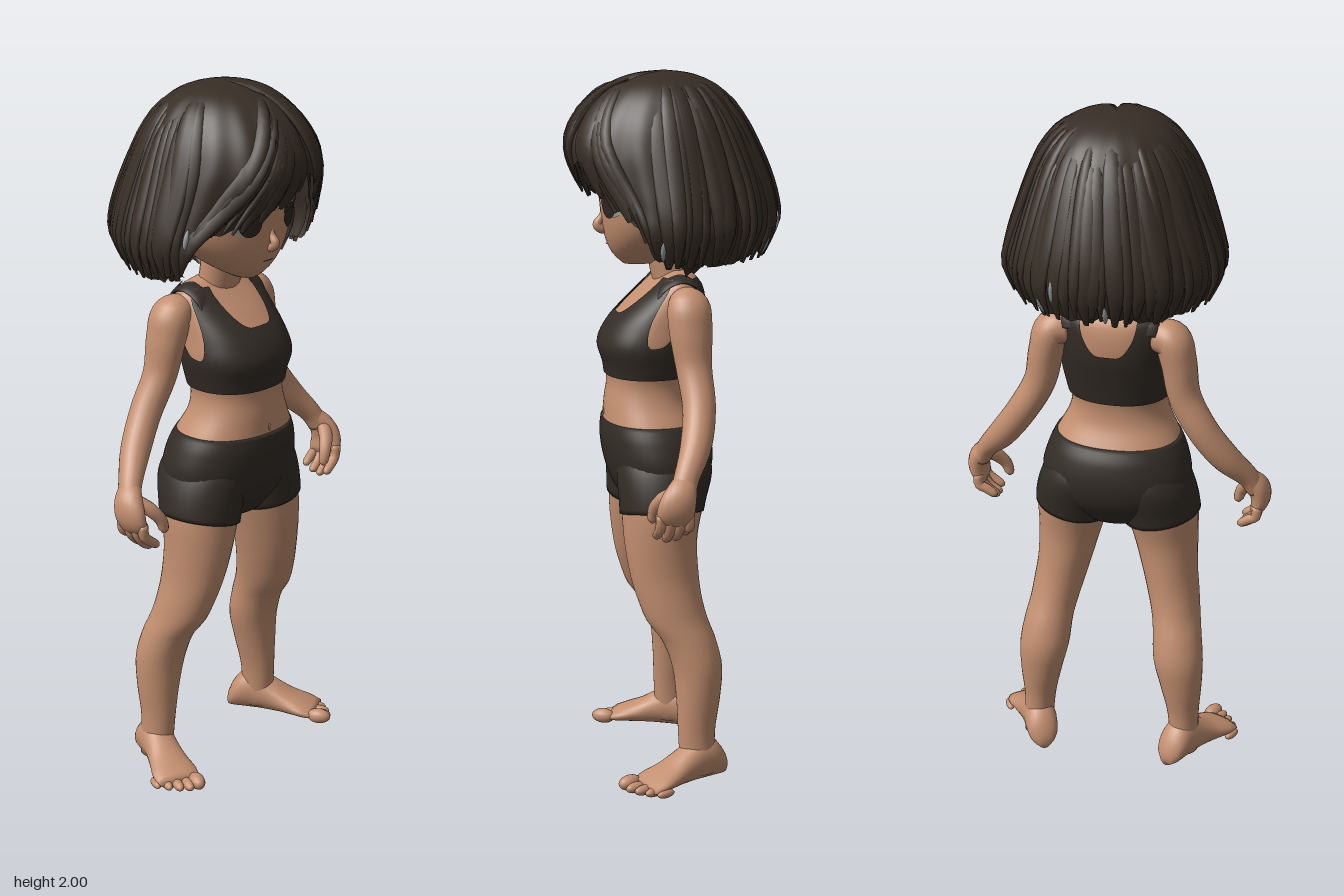
import * as THREE from 'three';

const V = (x, y, z) => new THREE.Vector3(x, y, z);
const rad = THREE.MathUtils.degToRad;
const material = (name, color, side = THREE.FrontSide) => {
  const m = new THREE.MeshStandardMaterial({ color, side });
  m.name = name;
  return m;
};

// smooth lookup in a table whose first column is the key
function at(t, x) {
  let i = 0;
  while (i < t.length - 2 && x > t[i + 1][0]) i++;
  const h = t[i + 1][0] - t[i][0], s = THREE.MathUtils.clamp((x - t[i][0]) / h, 0, 1);
  const slope = (k, c) => {
    const a = t[Math.max(k - 1, 0)], b = t[Math.min(k + 1, t.length - 1)];
    return (b[c] - a[c]) / (b[0] - a[0]);
  };
  return t[i].slice(1).map((p, j) => {
    const c = j + 1, q = t[i + 1][c], d = q - p, m0 = slope(i, c) * h, m1 = slope(i + 1, c) * h;
    return p + s * m0 + s * s * (3 * d - 2 * m0 - m1) + s * s * s * (m0 + m1 - 2 * d);
  });
}

// skin over closed rings of points, facing outwards
function loft(rings, cap = true) {
  const n = rings[0].length, pts = rings.flat(), idx = [];
  for (let r = 0; r < rings.length - 1; r++) for (let i = 0; i < n; i++) {
    const a = r * n + i, b = r * n + (i + 1) % n;
    idx.push(a, b, a + n, b, b + n, a + n);
  }
  if (cap) [0, rings.length - 1].forEach((r) => {
    const c = pts.length;
    pts.push(rings[r].reduce((s, p) => s.add(p), V(0, 0, 0)).divideScalar(n));
    for (let i = 0; i < n; i++) {
      const a = r * n + i, b = r * n + (i + 1) % n;
      r ? idx.push(a, b, c) : idx.push(b, a, c);
    }
  });
  const mid = pts.reduce((s, p) => s.add(p), V(0, 0, 0)).divideScalar(pts.length);
  let vol = 0;
  for (let i = 0; i < idx.length; i += 3) {
    const [a, b, c] = [0, 1, 2].map((k) => pts[idx[i + k]].clone().sub(mid));
    vol += a.dot(b.cross(c));
  }
  if (vol < 0) idx.reverse();
  const g = new THREE.BufferGeometry().setFromPoints(pts);
  g.setIndex(idx);
  g.computeVertexNormals();
  return g;
}

// horizontal ring; rows give half width, front z, back z
const ringPoint = (y, [rx, zf, zb], a, off = 0, e = 1, cx = 0) => {
  const p = (v) => Math.sign(v) * Math.abs(v) ** e;
  return V(cx + (rx + off) * p(Math.sin(a)), y, (zf + zb) / 2 + ((zf - zb) / 2 + off) * p(Math.cos(a)));
};
const circle = (n, f) => Array.from({ length: n }, (_, i) => f((i / n) * Math.PI * 2));
const steps = (n, f) => Array.from({ length: n + 1 }, (_, i) => f(i / n));

// tapered tube; each row is x, y, z, thickness, width along ref
function limb(rows, ref = V(0, 0, 1), n = 14, seg = 20) {
  const path = new THREE.CatmullRomCurve3(rows.map((r) => V(r[0], r[1], r[2])));
  const radii = rows.map((r, i) => [i / (rows.length - 1), r[3], r[4] ?? r[3]]);
  return loft(steps(seg, (t) => {
    const p = path.getPoint(t), tan = path.getTangent(t), [ru, rv] = at(radii, t);
    const v = ref.clone().addScaledVector(tan, -ref.dot(tan)).normalize(), u = v.clone().cross(tan);
    return circle(n, (a) => p.clone().addScaledVector(u, ru * Math.cos(a)).addScaledVector(v, rv * Math.sin(a)));
  }));
}

const TORSO = [[0.77, 0.1, 0.12, -0.04], [0.84, 0.195, 0.165, -0.09], [0.91, 0.212, 0.188, -0.11], [0.98, 0.197, 0.198, -0.1],
  [1.03, 0.174, 0.194, -0.075], [1.08, 0.148, 0.19, -0.05], [1.13, 0.136, 0.183, -0.045], [1.18, 0.145, 0.187, -0.055],
  [1.24, 0.157, 0.202, -0.07], [1.3, 0.153, 0.175, -0.085], [1.36, 0.15, 0.118, -0.088], [1.41, 0.145, 0.062, -0.078],
  [1.435, 0.125, 0.035, -0.06], [1.45, 0.07, 0.02, -0.04]];
const HEAD = [[1.465, 0.03, 0.135, 0.05], [1.49, 0.075, 0.163, 0], [1.53, 0.13, 0.183, -0.06], [1.58, 0.175, 0.194, -0.12],
  [1.64, 0.2, 0.2, -0.17], [1.72, 0.207, 0.21, -0.19], [1.8, 0.195, 0.205, -0.18], [1.88, 0.14, 0.15, -0.12], [1.92, 0.04, 0.07, -0.03]];
// leg rows: y, half width, front z, back z, centre x
const LEG = [[0.03, 0.042, 0.01, -0.09, 0.225], [0.15, 0.046, 0.016, -0.09, 0.22], [0.25, 0.061, 0.02, -0.105, 0.213],
  [0.34, 0.073, 0.03, -0.112, 0.203], [0.42, 0.071, 0.06, -0.094, 0.194], [0.47, 0.071, 0.098, -0.075, 0.184],
  [0.53, 0.075, 0.122, -0.06, 0.172], [0.6, 0.08, 0.142, -0.052, 0.158], [0.7, 0.093, 0.157, -0.05, 0.143],
  [0.8, 0.107, 0.162, -0.07, 0.128], [0.9, 0.105, 0.165, -0.092, 0.107], [0.99, 0.08, 0.145, -0.06, 0.085]];
// hair rows: step, y, half width, front z, back z
const HAIR = [[0, 2, 0, 0.02, 0.02], [1, 1.985, 0.095, 0.12, -0.07], [2, 1.948, 0.16, 0.195, -0.14], [3, 1.88, 0.208, 0.26, -0.195],
  [4, 1.8, 0.24, 0.29, -0.235], [5, 1.72, 0.267, 0.27, -0.267], [6, 1.65, 0.289, 0.245, -0.285], [7, 1.58, 0.3, 0.235, -0.288],
  [8, 1.49, 0.265, 0.215, -0.25]];
const HAIR_EDGE = [[-180, 7.9], [-75, 7.9], [-62, 6.9], [-42, 6.2], [-25, 5.95], [-10, 5.5], [3, 4.95], [14, 4.25], [22, 4.6], [32, 5.5],
  [46, 6.2], [62, 6.9], [75, 7.9], [180, 7.9]];
const NECKLINE = [[0, 1.33], [15, 1.335], [25, 1.37], [33, 1.435], [64, 1.435], [72, 1.33], [80, 1.26], [90, 1.25], [100, 1.27],
  [110, 1.35], [117, 1.435], [146, 1.435], [156, 1.37], [168, 1.325], [180, 1.32]];

const hairPoint = (deg, t, k = 1) => {
  const [y, rx, zf, zb] = at(HAIR, t), a = rad(deg), c = Math.cos(a);
  const part = 0.06 * Math.exp(-(((deg - 14) / 9) ** 2)) * Math.min(t, 1);
  const r = k * (1 - part + 0.012 * Math.sin(a * 17) * Math.min(t / 4, 1));
  return V(rx * r * Math.sin(a), y - (1 - k) * 0.1 - part * 0.2, 0.02 + (c > 0 ? zf - 0.02 : 0.02 - zb) * r * c);
};
const faceZ = (x, y) => {
  const [rx, zf, zb] = at(HEAD, y);
  return (zf + zb) / 2 + ((zf - zb) / 2) * Math.sqrt(Math.max(0, 1 - (x / rx) ** 2));
};
// thin plate laid on the face
function onFace(g, x, y, sx, sy, tilt, lift) {
  g.scale(sx, sy, 1).rotateZ(tilt).translate(x, y, 0);
  const p = g.attributes.position;
  for (let i = 0; i < p.count; i++) p.setZ(i, faceZ(p.getX(i), p.getY(i)) + lift);
  g.computeVertexNormals();
  return g;
}

export function createModel() {
  const model = new THREE.Group();
  const skin = material('skin', 0xc38f70), skinShade = material('skin shade', 0x9a6a52);
  const hair = material('hair', 0x372d25, THREE.DoubleSide), cloth = material('cloth', 0x332c26, THREE.DoubleSide);
  const paleGrey = material('pale grey', 0x959b9b), eyeDark = material('eye dark', 0x2f2723);
  const add = (name, g, m) => {
    const mesh = new THREE.Mesh(g, m);
    mesh.name = name;
    model.add(mesh);
  };
  const pair = (name, g, m) => {
    add(name + 'Left', g, m);
    const f = g.clone().scale(-1, 1, 1), ix = f.index.array;
    for (let i = 0; i < ix.length; i += 3) [ix[i], ix[i + 1]] = [ix[i + 1], ix[i]];
    add(name + 'Right', f, m);
  };
  const blob = (x, y, z, a, b, c) => new THREE.SphereGeometry(1, 16, 12).scale(a, b, c).translate(x, y, z);
  const body = (table, y0, y1, off = 0, e = 1) => loft(steps(28, (t) => {
    const y = y0 + (y1 - y0) * t, r = at(table, y);
    return circle(48, (a) => ringPoint(y, r, a, off, e));
  }));

  // trunk, neck and head
  add('torso', body(TORSO, 0.98, 1.45, 0, 0.9), skin);
  add('neck', limb([[0, 1.39, -0.01, 0.085, 0.05], [0, 1.44, 0.005, 0.068, 0.052], [0, 1.54, 0.02, 0.066, 0.056]], V(0, 0, 1), 24), skin);
  add('head', body(HEAD, 1.465, 1.92), skin);
  add('nose', limb([[0, 1.62, 0.186, 0.008], [0, 1.595, 0.196, 0.01], [0, 1.575, 0.208, 0.013], [0, 1.56, 0.193, 0.012], [0, 1.555, 0.18, 0.005]], V(1, 0, 0)), skin);
  add('navel', blob(0, 1.04, 0.192, 0.006, 0.011, 0.004), skinShade);
  pair('ear', blob(0.2, 1.615, 0.02, 0.018, 0.045, 0.03), skin);

  // face plates
  const disc = () => new THREE.RingGeometry(0.001, 1, 28, 5), strip = () => new THREE.PlaneGeometry(1, 1, 12, 2);
  add('mouth', onFace(strip(), 0, 1.523, 0.04, 0.004, 0, 0.003), skinShade);
  pair('eyeWhite', onFace(disc(), 0.09, 1.638, 0.043, 0.031, 0.1, 0.003), paleGrey);
  pair('iris', onFace(disc(), 0.079, 1.639, 0.033, 0.036, 0, 0.006), eyeDark);
  pair('upperLash', onFace(strip(), 0.088, 1.667, 0.105, 0.015, 0.16, 0.008), eyeDark);
  pair('eyebrow', onFace(strip(), 0.085, 1.7, 0.1, 0.011, 0.28, 0.006), hair);

  // cropped top with scooped neck and armholes
  add('cropTop', loft(steps(22, (t) => circle(144, (a) => {
    const deg = 180 - Math.abs(180 - (a * 180) / Math.PI);
    const y = 1.155 + (Math.min(at(NECKLINE, deg)[0], 1.435) - 1.155) * t;
    return ringPoint(y, at(TORSO, y), a, 0.007, 0.9);
  })), false), cloth);
  pair('shoulderStrap', limb([[0.108, 1.385, 0.06, 0.006, 0.027], [0.11, 1.415, 0.036, 0.007, 0.028], [0.112, 1.434, -0.008, 0.007, 0.029],
    [0.11, 1.417, -0.052, 0.007, 0.028], [0.108, 1.385, -0.066, 0.006, 0.027]], V(0.97, -0.25, 0)), cloth);

  // shorts
  add('shortsHips', body(TORSO, 0.77, 1.025, 0.005, 0.95), cloth);
  const legRing = (y, off, tilt = 0) => {
    const r = at(LEG, y);
    return circle(32, (a) => {
      const p = ringPoint(y, r, a, off, 1, r[3]);
      p.y += (p.x - r[3]) * tilt;
      return p;
    });
  };
  pair('shortsLeg', loft(steps(14, (t) => legRing(0.775 + 0.2 * t, 0.006, 0.2 * (1 - t) ** 2))), cloth);

  // legs and feet
  pair('leg', loft(steps(36, (t) => legRing(0.03 + 0.84 * t, 0))), skin);
  const footRows = [[-0.09, 0.02, 0.055], [-0.075, 0.04, 0.09], [-0.04, 0.048, 0.13], [0, 0.048, 0.135], [0.05, 0.05, 0.108],
    [0.1, 0.058, 0.078], [0.15, 0.067, 0.056], [0.185, 0.06, 0.04]];
  const place = (g) => g.rotateY(rad(26)).translate(0.225, 0, -0.04);
  pair('foot', place(loft(steps(24, (t) => {
    const z = -0.09 + 0.275 * t, [w, h] = at(footRows, z);
    return circle(24, (a) => V(w * Math.cos(a), 0.008 + (h - 0.008) * (0.5 + 0.5 * Math.sin(a)), z));
  }))), skin);
  for (let i = 0; i < 5; i++) {
    const r = i ? 0.0165 - i * 0.001 : 0.022;
    pair('toe' + (i + 1), place(blob(-0.046 + i * 0.027, r + 0.004, 0.203 - i * i * 0.003, r, r, 0.036 - i * 0.002)), skin);
  }

  // arms and hands
  pair('arm', limb([[0.12, 1.37, -0.02, 0.045], [0.168, 1.362, -0.022, 0.053, 0.06], [0.189, 1.3, -0.024, 0.05, 0.06],
    [0.208, 1.2, -0.03, 0.046, 0.05], [0.262, 1.1, -0.035, 0.044, 0.046], [0.325, 1.01, -0.015, 0.041, 0.043],
    [0.383, 0.94, 0.02, 0.03, 0.035], [0.405, 0.9, 0.035, 0.028, 0.036]], V(0, 0, 1), 24, 40), skin);
  pair('palm', limb([[0.385, 0.935, 0.022, 0.024, 0.03], [0.412, 0.9, 0.04, 0.03, 0.044], [0.419, 0.86, 0.054, 0.028, 0.052],
    [0.41, 0.825, 0.058, 0.02, 0.048], [0.405, 0.812, 0.06, 0.008, 0.03]], V(0, 0, 1), 20), skin);
  [0, 1, 2, 3].forEach((i) => {
    const z = 0.018 + i * 0.026, drop = [0.018, 0.004, 0, 0.01][i];
    pair('finger' + (i + 1), limb([[0.415, 0.845, z, 0.015], [0.41, 0.81, z, 0.015], [0.392, 0.782 + drop, z + 0.002, 0.014],
      [0.367, 0.766 + drop, z + 0.004, 0.012], [0.358, 0.764 + drop, z + 0.004, 0.005]], V(0, 0, 1), 10, 12), skin);
  });
  pair('thumb', limb([[0.4, 0.9, 0.06, 0.02], [0.375, 0.875, 0.09, 0.02], [0.353, 0.845, 0.105, 0.017], [0.344, 0.815, 0.108, 0.014],
    [0.345, 0.805, 0.108, 0.005]], V(0, 0, 1), 10, 14), skin);

  // bob of hair: outer shell, and a lining that closes in on the nape
  const shell = (trim, scale) => loft(steps(30, (s) => circle(180, (a) => {
    const deg = (a * 180) / Math.PI - 180, tooth = 0.14 * Math.abs(Math.sin(a * 13)) + 0.1 * Math.sin(a * 7);
    return hairPoint(deg, s * (at(HAIR_EDGE, deg)[0] - tooth - trim), scale(Math.abs(deg), s));
  })), false);
  add('hairShell', shell(0, () => 1), hair);
  add('hairLining', shell(0.15, (deg, s) => 0.92 - 0.47 * THREE.MathUtils.smoothstep(deg, 80, 110) * s ** 10), hair);

  // tapered locks over the shell, following a path of angle, step and scale
  let seed = 7;
  const rnd = () => (seed = (seed * 16807) % 2147483647) / 2147483647;
  const lock = (name, end, width, path, m = hair) => {
    const rows = steps(7, (s) => {
      const p = hairPoint(...path(s)), f = Math.sin(Math.PI * Math.min(0.04 + s * 0.93, 0.97)) ** 0.6;
      return [p.x, p.y, p.z, Math.min(0.012, width) * f, width * f];
    });
    add(name, limb(rows, V(Math.cos(rad(end)), 0, -Math.sin(rad(end))), 8, 16), m);
  };
  for (let i = 0; i < 64; i++) {
    const end = -180 + (i + 0.2 + rnd() * 0.6) * 5.625, fringe = Math.abs(end) < 72;
    const t0 = fringe ? 1 + rnd() * 0.8 : 0.8 + rnd() * 1.6, t1 = Math.min(at(HAIR_EDGE, end)[0] - 0.2 + rnd() * 0.4, 8);
    const from = end < 14 ? 4 : 24, w = 0.014 + rnd() * 0.022, flare = fringe ? 0 : rnd() * 0.045;
    if (Math.abs(end - 14) < 7) continue;
    lock('hairLock' + (i + 1), end, w, (s) => [fringe ? from + (end - from) * s ** 0.7 : end + Math.sin(s * 2) * 5,
      t0 + (t1 - t0) * s, 0.965 + 0.04 * s ** 0.5 + flare * s ** 4]);
  }
  // hanging locks beneath the back and sides
  for (let i = 0; i < 22; i++) {
    const end = 82 + i * 9.3, k = 0.72 + 0.16 * rnd(), t1 = 7.7 + 0.3 * rnd();
    lock('underLock' + (i + 1), end, 0.03, (s) => [end > 180 ? end - 360 : end, 5 + (t1 - 5) * s, k]);
  }
  // a few pale tips
  [[160, 6.5, 7.5], [150, 7.3, 7.9], [-172, 7.3, 7.9], [77, 7.2, 7.8], [-62, 6, 6.8]].forEach(([deg, t0, t1], i) =>
    lock('paleTip' + (i + 1), deg, 0.008, (s) => [deg, t0 + (t1 - t0) * s, 1.03]  , paleGrey));
  return model;
}
